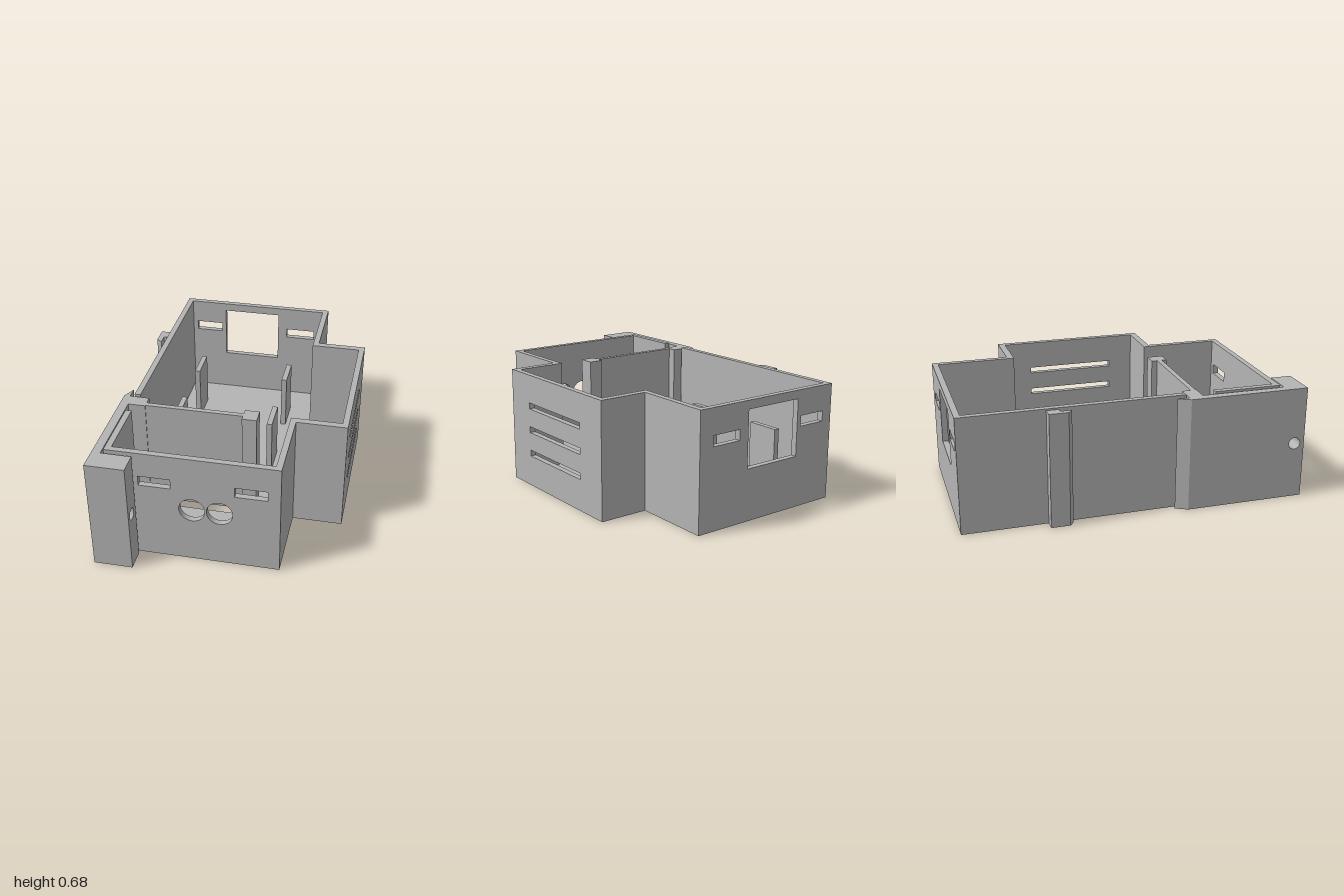
import * as THREE from 'three';

export function createModel() {
  const model = new THREE.Group();
  const grey = new THREE.MeshStandardMaterial({ color: 0xb4b4b4 });
  grey.name = 'grey plastic';

  const H = 0.68, T = 0.035, LATCH = 0.67;

  const add = (name, geometry) => {
    const mesh = new THREE.Mesh(geometry, grey);
    mesh.name = name;
    model.add(mesh);
    return mesh;
  };
  const extrude = (shape, depth) =>
    new THREE.ExtrudeGeometry(shape, { depth, bevelEnabled: false, curveSegments: 20 });

  // Upright prism from a plan outline of [x, z] points
  const prism = (name, points, y0, y1) => {
    const shape = new THREE.Shape(points.map(([x, z]) => new THREE.Vector2(x, -z)));
    return add(name, extrude(shape, y1 - y0).rotateX(-Math.PI / 2).translate(0, y0, 0));
  };
  const block = (name, x0, x1, z0, z1, y0, y1) =>
    prism(name, [[x0, z0], [x1, z0], [x1, z1], [x0, z1]], y0, y1);

  const rectPoints = (u0, u1, y0, y1) =>
    [[u0, y0], [u1, y0], [u1, y1], [u0, y1]].map((p) => new THREE.Vector2(...p));

  // Panel with rectangular slots [u0, u1, y0, y1] and round holes [u, y, r]
  const panel = (u0, u1, y0, y1, depth, slots, rounds = []) => {
    const shape = new THREE.Shape(rectPoints(u0, u1, y0, y1));
    slots.forEach((s) => shape.holes.push(new THREE.Path(rectPoints(...s))));
    rounds.forEach(([u, y, r]) =>
      shape.holes.push(new THREE.Path().absarc(u, y, r, 0, Math.PI * 2, true)));
    return extrude(shape, depth);
  };

  // Floor, with the open notch for the latch arm
  prism('floor', [
    [-0.6, -1], [0.365, -1], [0.365, -0.54], [0.655, -0.54], [0.655, 0.39], [0.365, 0.39],
    [0.365, 0.855], [-0.6, 0.855], [-0.6, 0.46], [0.06, 0.46], [0.06, 0.285], [-0.6, 0.285],
  ], 0, T);

  // Front wall with two slots and two round ports
  add('frontWall', panel(-0.6, 0.365, T, H, T,
    [[-0.42, -0.24, 0.47, 0.53], [0.115, 0.295, 0.47, 0.53]],
    [[-0.125, 0.342, 0.073], [0.03, 0.342, 0.073]]).translate(0, 0, 0.82));

  // Back wall with a window between two slots
  add('backWall', panel(-0.6, 0.365, T, H, T, [
    [-0.535, -0.363, 0.47, 0.53], [-0.335, 0.03, 0.3, 0.63], [0.09, 0.275, 0.47, 0.53],
  ]).translate(0, 0, -1));

  // Vented wall of the side bay
  add('ventWall', panel(-0.54, 0.39, T, H, T,
    [0.185, 0.33, 0.475].map((y) => [-0.335, 0.2, y, y + 0.037]))
    .rotateY(-Math.PI / 2).translate(0.655, 0, 0));

  // Plain walls: x0, x1, z0, z1
  [
    ['rightWallLong', -0.6, -0.565, -0.965, 0.285],
    ['rightWallShort', -0.6, -0.565, 0.46, 0.82],
    ['leftWallBack', 0.33, 0.365, -0.965, -0.54],
    ['leftWallFront', 0.33, 0.365, 0.39, 0.82],
    ['bayBackWall', 0.33, 0.62, -0.54, -0.5],
    ['bayFrontWall', 0.33, 0.62, 0.35, 0.39],
  ].forEach(([name, ...r]) => block(name, ...r, T, H));

  // Four board supports
  for (const x of [-0.455, 0.13])
    for (const z of [-0.745, -0.21]) block('boardSupport', x, x + 0.033, z, z + 0.205, T, 0.38);

  // Stop blocks behind the latch arm
  block('stopBlock', -0.25, -0.05, 0.17, 0.235, T, 0.38);
  block('stopRib', -0.25, -0.05, 0.25, 0.275, T, 0.4);

  // Spring latch: post, arm, hooked side plate and drilled front grip
  block('latchPost', 0.06, 0.145, 0.31, 0.405, T, LATCH);
  block('latchArm', -0.51, 0.06, 0.345, 0.375, 0.01, LATCH);
  prism('latchPlate', [
    [-0.66, 0.875], [-0.66, 0.295], [-0.625, 0.225], [-0.625, 0.295],
    [-0.51, 0.295], [-0.51, 0.38], [-0.61, 0.38], [-0.61, 0.875],
  ], 0, LATCH);
  add('latchGrip', panel(0.875, 1, 0, LATCH, 0.222, [], [[0.94, 0.335, 0.035]])
    .rotateY(-Math.PI / 2).translate(-0.438, 0, 0));

  // Fixed hook on the same side
  prism('fixedHook', [
    [-0.6, -0.51], [-0.66, -0.51], [-0.66, -0.4], [-0.627, -0.375], [-0.627, -0.44], [-0.6, -0.44],
  ], 0, LATCH);

  return model;
}
